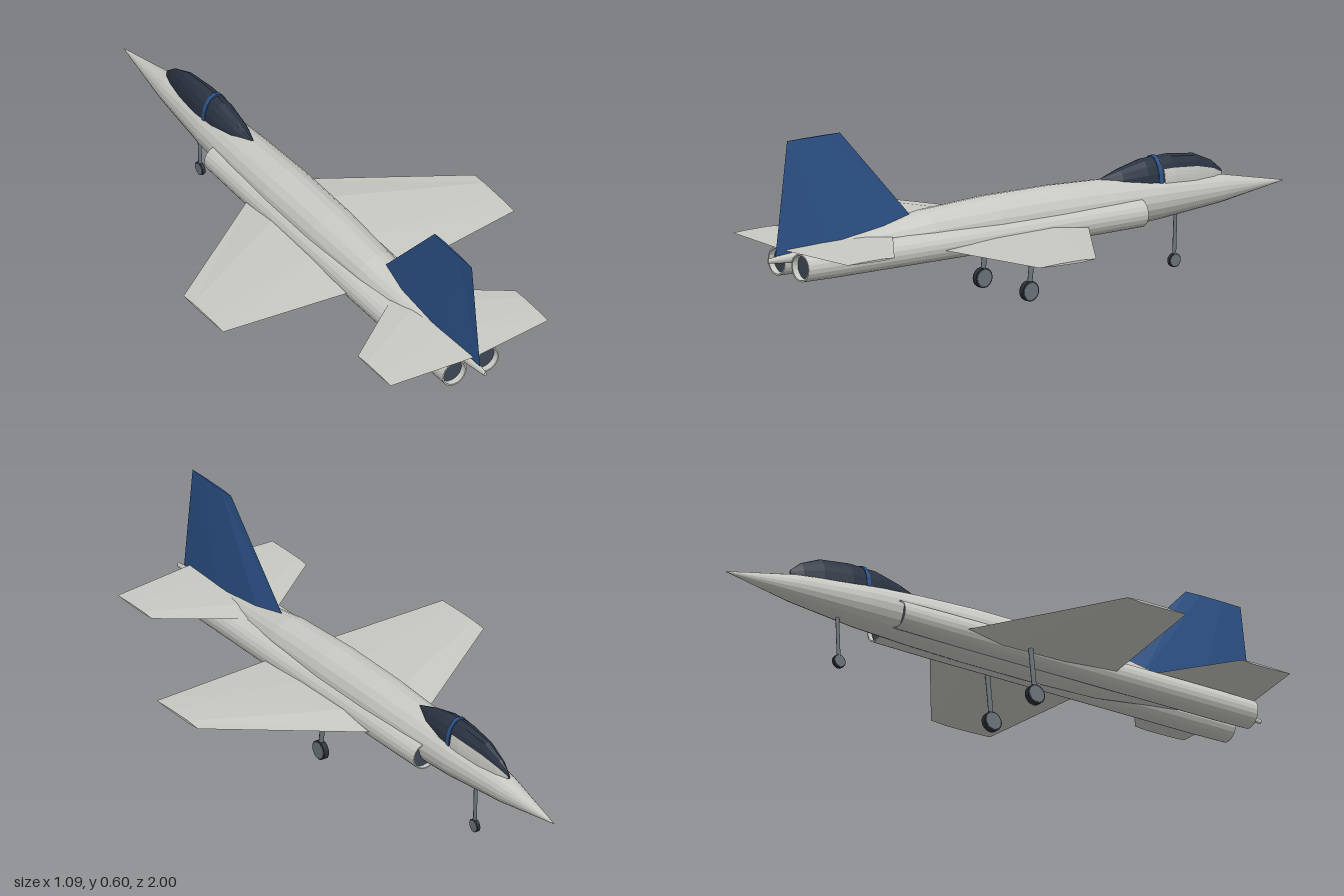
import * as THREE from 'three';

const mat = (name, color) => {
  const m = new THREE.MeshStandardMaterial({ color });
  m.name = name;
  return m;
};

// Faceted solid through equal-length rings of [x, y, z], capped at both ends
function loft(rings) {
  const n = rings[0].length, tris = [];
  const first = rings[0], last = rings[rings.length - 1];
  for (let r = 0; r < rings.length - 1; r++) {
    for (let i = 0; i < n; i++) {
      const j = (i + 1) % n, p = rings[r], q = rings[r + 1];
      tris.push([p[i], q[i], q[j]], [p[i], q[j], p[j]]);
    }
  }
  for (let i = 1; i < n - 1; i++) {
    tris.push([first[0], first[i], first[i + 1]], [last[0], last[i + 1], last[i]]);
  }
  // Turn every face outward using the signed volume
  let volume = 0;
  const [a, b, c] = [0, 1, 2].map(() => new THREE.Vector3());
  for (const t of tris) volume += a.set(...t[0]).dot(b.set(...t[1]).cross(c.set(...t[2])));
  if (volume < 0) tris.forEach((t) => t.reverse());
  const g = new THREE.BufferGeometry();
  g.setAttribute('position', new THREE.Float32BufferAttribute(tris.flat(2), 3));
  g.computeVertexNormals();
  return g;
}

// Six-sided aerofoil as [chord fraction, thickness fraction]
const FOIL = [[0, 0], [0.25, 1], [0.65, 0.8], [1, 0], [0.65, -0.8], [0.25, -1]];

// Flat surface section at x = span; front and back are z, half is half the thickness
const wingRing = (x, y, front, back, half) =>
  FOIL.map(([c, t]) => [x, y + t * half, front + c * (back - front)]);

const finRing = (y, front, back, half) =>
  FOIL.map(([c, t]) => [t * half, y, front + c * (back - front)]);

const oval = (z, y, rx, ry, n = 20) => Array.from({ length: n }, (_, i) => {
  const a = (i / n) * Math.PI * 2;
  return [Math.cos(a) * rx, y + Math.sin(a) * ry, z];
});

// Arch section of the canopy: z, base height, half width, height
const arch = ([z, y, w, h], to = Math.PI, grow = 1, n = 8) =>
  Array.from({ length: n + 1 }, (_, i) => {
    const a = (i / n) * to;
    return [Math.cos(a) * w * grow, y + Math.sin(a) * h * grow, z];
  });

export function createModel() {
  const model = new THREE.Group();
  const skin = mat('lightGreySkin', 0xc9c9c3);
  const blue = mat('tailBlue', 0x2c5288);
  const glass = mat('darkGlass', 0x2b3443);
  const dark = mat('nozzleDark', 0x3d4855);
  const metal = mat('gearGrey', 0x6c757b);
  const rubber = mat('tyreDark', 0x2a2f36);

  const add = (name, geometry, material, parent = model) => {
    const mesh = new THREE.Mesh(geometry, material);
    mesh.name = name;
    parent.add(mesh);
    return mesh;
  };

  // Fuselage, nose at -z
  add('fuselage', loft([
    [-1, 0.22, 0.001, 0.001], [-0.75, 0.228, 0.043, 0.045], [-0.5, 0.232, 0.07, 0.07],
    [-0.3, 0.235, 0.08, 0.081], [-0.1, 0.237, 0.086, 0.087], [0.15, 0.237, 0.086, 0.087],
    [0.4, 0.234, 0.076, 0.078], [0.6, 0.232, 0.053, 0.05], [0.75, 0.23, 0.03, 0.033],
    [0.93, 0.228, 0.013, 0.015], [1, 0.228, 0.005, 0.007],
  ].map((s) => oval(...s))), skin);

  // Canopy with its frame and side sill
  const canopy = [
    [-0.76, 0.268, 0.004, 0.02], [-0.72, 0.27, 0.018, 0.052], [-0.65, 0.272, 0.032, 0.081],
    [-0.55, 0.28, 0.044, 0.085], [-0.45, 0.285, 0.045, 0.077], [-0.36, 0.29, 0.033, 0.05],
    [-0.28, 0.3, 0.004, 0.015],
  ];
  add('canopy', loft(canopy.map((s) => arch(s))), glass);
  add('canopyFrame', loft([-0.502, -0.488].map((z) => arch([z, 0.283, 0.0445, 0.081], Math.PI, 1.05))), blue);
  add('canopySill', loft([...canopy.slice(0, 4), [-0.51, 0.282, 0.0444, 0.082]]
    .map((s) => arch(s, 0.55, 1.03, 4))), skin);

  // Twin engine ducts with recessed dark ends
  const duct = [[0.04, -0.37], [0.041, -0.4], [0.045, -0.4], [0.047, -0.2],
    [0.047, 0.8], [0.045, 0.92], [0.04, 0.92], [0.038, 0.88]];
  for (const side of [-1, 1]) {
    const engine = new THREE.Group();
    engine.name = side > 0 ? 'leftEngine' : 'rightEngine';
    engine.position.set(side * 0.061, 0.207, 0);
    model.add(engine);
    const shell = new THREE.LatheGeometry(duct.map(([r, y]) => new THREE.Vector2(r, y)), 20)
      .rotateX(Math.PI / 2).toNonIndexed();
    shell.computeVertexNormals();
    add('engineDuct', shell, skin, engine);
    add('nozzle', new THREE.CircleGeometry(0.04, 20).translate(0, 0, 0.9), dark, engine);
    add('intake', new THREE.CircleGeometry(0.042, 20).rotateY(Math.PI).translate(0, 0, -0.385), dark, engine);
  }

  // Wings, tailplanes and main gear, mirrored
  for (const side of [-1, 1]) {
    const label = side > 0 ? 'left' : 'right';
    add(label + 'Wing', loft([
      wingRing(side * 0.05, 0.197, -0.205, 0.394, 0.019),
      wingRing(side * 0.545, 0.217, 0.135, 0.355, 0.004),
    ]), skin);
    add(label + 'Tailplane', loft([
      wingRing(0, 0.255, 0.515, 0.938, 0.009),
      wingRing(side * 0.295, 0.255, 0.73, 0.912, 0.003),
    ]), skin);
  }

  // Fin
  add('fin', loft([finRing(0.24, 0.39, 0.97, 0.018), finRing(0.6, 0.72, 0.925, 0.003)]), blue);

  // Landing gear: strut, tyre and hub discs
  const gear = (name, x, z, radius, width, strutR, top, lean) => {
    const leg = new THREE.Group();
    leg.name = name;
    leg.position.set(x, 0, z);
    model.add(leg);
    const path = new THREE.LineCurve3(new THREE.Vector3(0, radius, 0), new THREE.Vector3(0, top, lean));
    add('strut', new THREE.TubeGeometry(path, 1, strutR, 8), metal, leg);
    const wheel = (r, w) => new THREE.CylinderGeometry(r, r, w, 16).rotateZ(Math.PI / 2).translate(0, radius, 0);
    add('tyre', wheel(radius, width), rubber, leg);
    add('hub', wheel(radius * 0.85, width + 0.003), metal, leg);
  };
  gear('leftMainGear', 0.12, 0.075, 0.032, 0.018, 0.008, 0.2, -0.017);
  gear('rightMainGear', -0.12, 0.075, 0.032, 0.018, 0.008, 0.2, -0.017);
  gear('noseGear', 0, -0.578, 0.022, 0.011, 0.006, 0.19, -0.006);

  return model;
}
